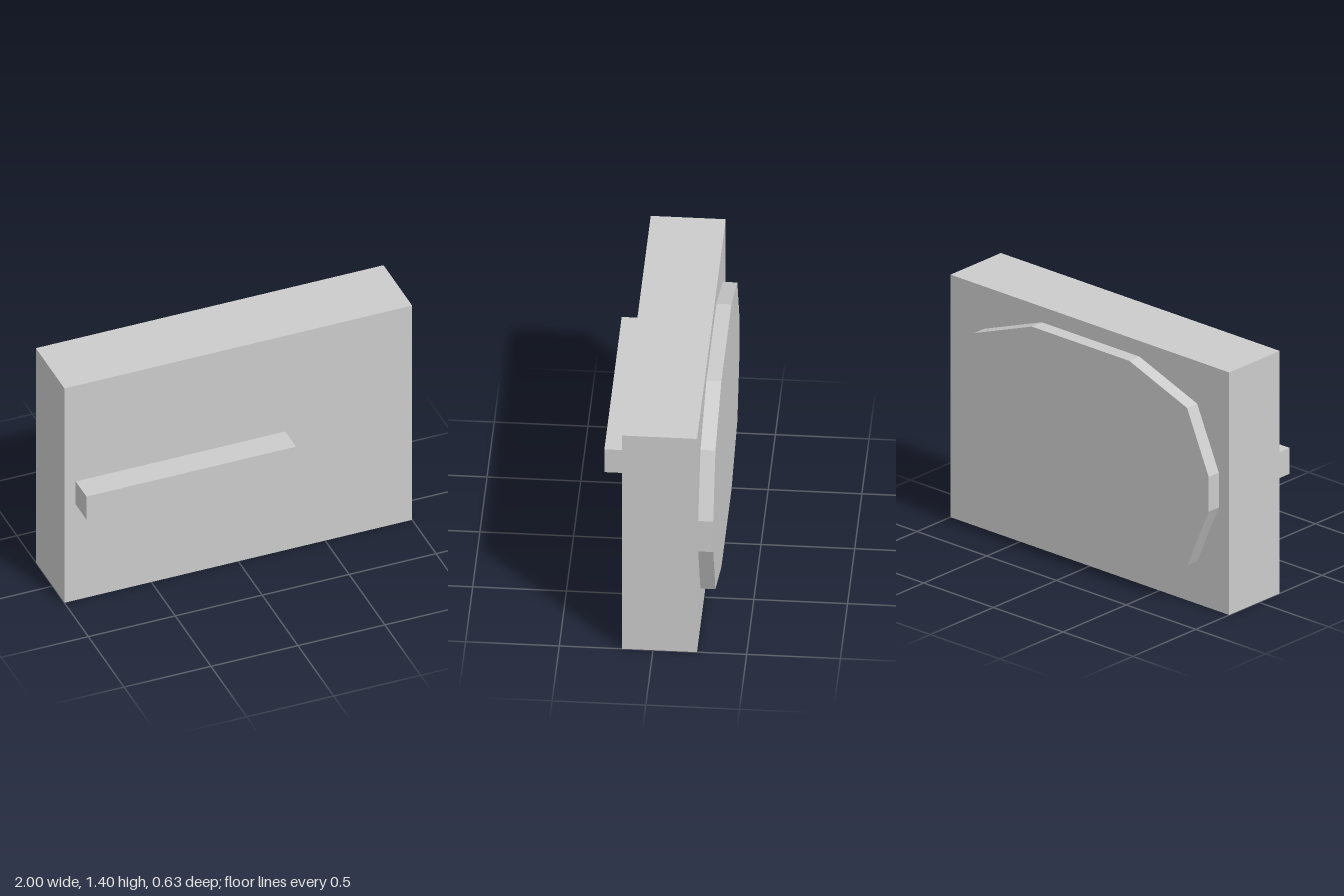
import * as THREE from 'three';

const material = new THREE.MeshStandardMaterial({ color: 0xcccccc, flatShading: true });

function addMesh(group, name, geometry, x, y, z) {
  const mesh = new THREE.Mesh(geometry, material);
  mesh.name = name;
  mesh.position.set(x, y, z);
  group.add(mesh);
}

export function createModel() {
  const group = new THREE.Group();

  // Main slab
  addMesh(group, 'body', new THREE.BoxGeometry(2, 1.4, 0.4), 0, 0.7, -0.035);

  // Off-centre bar on the front
  addMesh(group, 'frontBar', new THREE.BoxGeometry(1.205, 0.15, 0.15), -0.3325, 0.7, 0.24);

  // Twelve-sided raised plate on the back: one quarter outline, mirrored around
  const quarter = [[0.92, 0.1], [0.765, 0.455], [0.35, 0.61]];
  const mirrored = [...quarter].reverse();
  const outline = [
    ...quarter,
    ...mirrored.map(([x, y]) => [-x, y]),
    ...quarter.map(([x, y]) => [-x, -y]),
    ...mirrored.map(([x, y]) => [x, -y]),
  ].map(([x, y]) => new THREE.Vector2(x, y));
  const plate = new THREE.ExtrudeGeometry(new THREE.Shape(outline), { depth: 0.08, bevelEnabled: false });
  addMesh(group, 'backPlate', plate, -0.005, 0.7, -0.315);

  return group;
}
